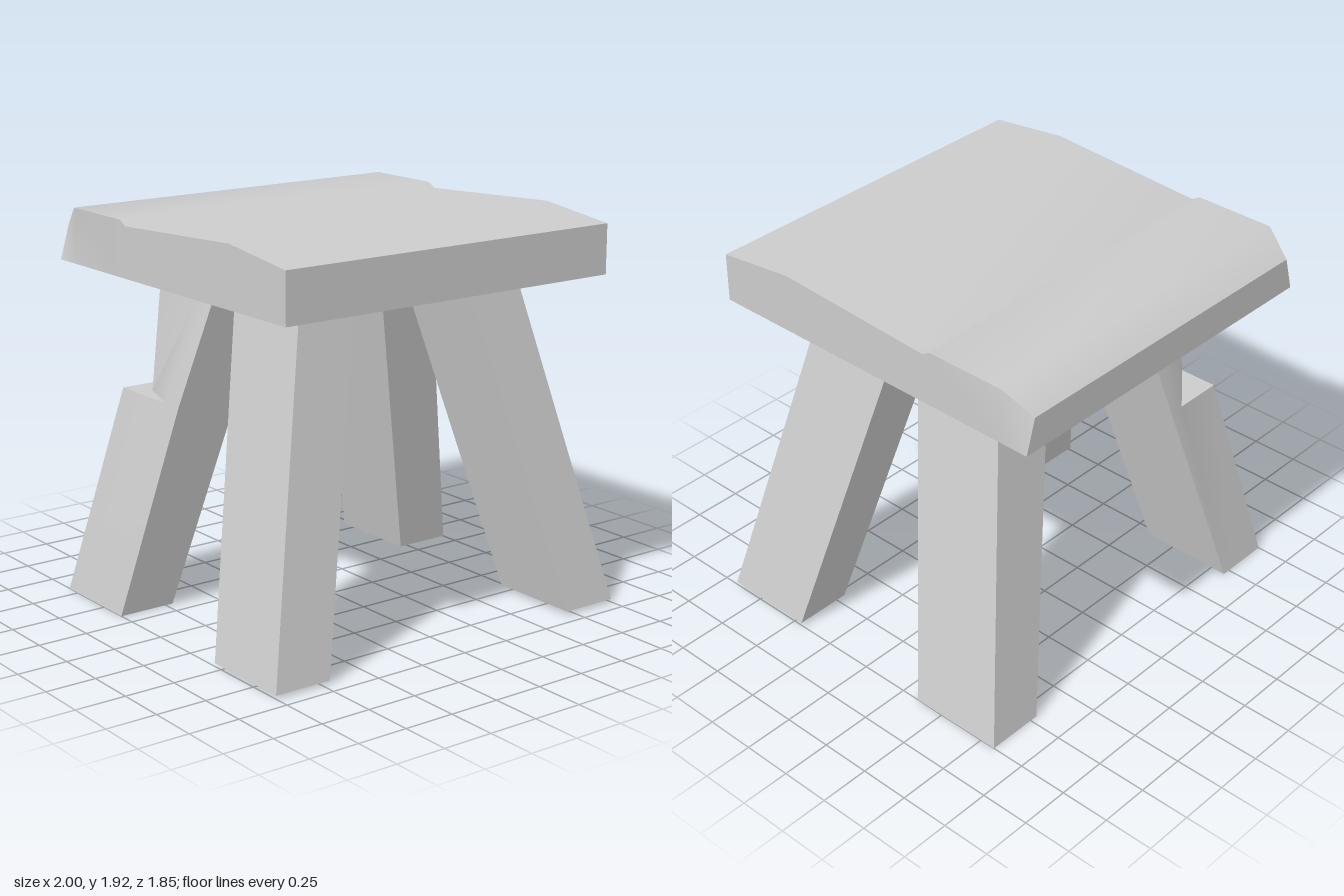
import * as THREE from 'three';
import { toCreasedNormals } from 'three/addons/utils/BufferGeometryUtils.js';

const SEAT_BOTTOM = 1.63;

// Skin a row of matching closed loops and cap both ends; empty triangles are dropped.
function loft(loops, crease = 0.75) {
  const pos = [];
  const tri = (a, b, c) => {
    const [A, B, C] = [a, b, c].map((p) => new THREE.Vector3(...p));
    if (B.clone().sub(A).cross(C.clone().sub(A)).length() > 1e-7) pos.push(...a, ...b, ...c);
  };
  const n = loops[0].length;
  for (let s = 0; s < loops.length - 1; s++) {
    const lo = loops[s], hi = loops[s + 1];
    for (let i = 0; i < n; i++) {
      const j = (i + 1) % n;
      tri(lo[i], lo[j], hi[j]);
      tri(lo[i], hi[j], hi[i]);
    }
  }
  const first = loops[0], last = loops[loops.length - 1];
  for (let i = 1; i < n - 1; i++) {
    tri(first[0], first[i + 1], first[i]);
    tri(last[0], last[i], last[i + 1]);
  }
  const g = new THREE.BufferGeometry();
  g.setAttribute('position', new THREE.Float32BufferAttribute(pos, 3));
  return toCreasedNormals(g, crease);
}

// Rectangle at height y, seen counter-clockwise from above
const rect = (y, [x0, x1, z0, z1]) => [[x1, y, z1], [x1, y, z0], [x0, y, z0], [x0, y, z1]];

// Same rectangle with its back right corner pushed in by "dent" (0 = whole, 1 = cut flat)
function chippedRect(y, [x0, x1, z0, z1], dent) {
  const ax = x0 + (x1 - x0) * 0.76, bz = z0 + (z1 - z0) * 0.78;
  const cx = THREE.MathUtils.lerp(x0, (x0 + ax) / 2, dent);
  const cz = THREE.MathUtils.lerp(z0, (z0 + bz) / 2, dent);
  return [[x1, y, z1], [x1, y, z0], [ax, y, z0], [cx, y, cz], [x0, y, bz], [x0, y, z1]];
}

export function createModel() {
  const group = new THREE.Group();
  const grey = new THREE.MeshStandardMaterial({ color: 0xcccccc });
  grey.name = 'grey';
  const add = (name, geometry) => {
    const mesh = new THREE.Mesh(geometry, grey);
    mesh.name = name;
    group.add(mesh);
  };

  // Seat: worn slab, [z, top y, top left x, top right x] from back to front
  const seat = [
    [-0.93, 1.80, -0.88, 0.85],
    [-0.79, 1.90, -0.93, 0.90],
    [-0.38, 1.90, -0.93, 0.90],
    [-0.335, 1.875, -0.93, 0.90],
    [0.50, 1.92, -0.93, 0.90],
    [0.91, 1.87, -0.93, 0.90],
  ];
  add('seat', loft(seat.map(([z, y, xl, xr]) => [
    [-0.93, SEAT_BOTTOM, z], [0.90, SEAT_BOTTOM, z], [xr, y, z], [xl, y, z],
  ])));

  // Splayed legs: foot and top rectangles as [x0, x1, z0, z1]
  const legs = [
    ['frontLeftLeg', 0.015, [0.71, 1.0, 0.45, 0.92], [0.335, 0.64, 0.08, 0.57]],
    ['frontRightLeg', 0.015, [-1.0, -0.71, 0.45, 0.92], [-0.61, -0.31, 0.08, 0.57]],
    ['backLeftLeg', 0, [0.71, 1.0, -0.83, -0.345], [0.32, 0.64, -0.535, -0.05]],
  ];
  for (const [name, y, foot, top] of legs) {
    add(name, loft([rect(y, foot), rect(SEAT_BOTTOM, top)]));
  }

  // Back right leg, with a chip knocked out of its outer corner
  const foot = [-1.0, -0.71, -0.83, -0.345];
  const top = [-0.61, -0.295, -0.535, -0.05];
  const chipY = 1.03;
  const middle = foot.map((v, i) => THREE.MathUtils.lerp(v, top[i], chipY / SEAT_BOTTOM));
  middle[0] = -0.775;
  add('backRightLeg', loft([
    chippedRect(0, foot, 0),
    chippedRect(chipY, middle, 0),
    chippedRect(chipY, middle, 0.68),
    chippedRect(SEAT_BOTTOM, top, 0),
  ]));

  return group;
}
